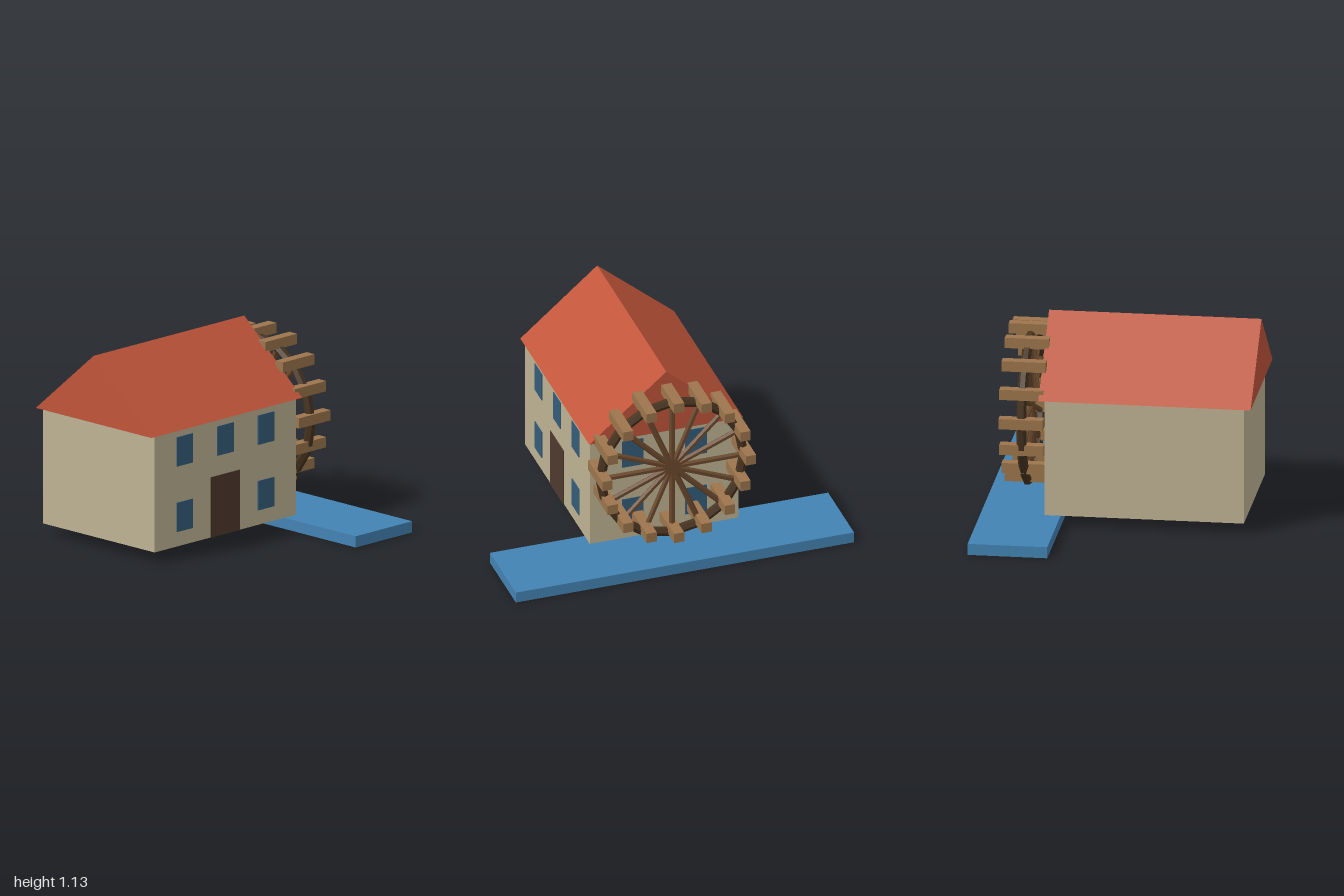
import * as THREE from 'three';

const mat = (name, color) => {
  const m = new THREE.MeshStandardMaterial({ color });
  m.name = name;
  return m;
};

export function createModel() {
  const wall = mat('wall', 0xbfb393);
  const roofRed = mat('roof tile', 0xc1553a);
  const glass = mat('window glass', 0x345c7a);
  const doorWood = mat('door wood', 0x4f392d);
  const water = mat('water', 0x4383b3);
  const rimWood = mat('rim wood', 0x47331f);
  const spokeWood = mat('spoke wood', 0x6b4a2e);
  const paddleWood = mat('paddle wood', 0x9c754c);
  rimWood.flatShading = spokeWood.flatShading = true;

  const model = new THREE.Group();
  model.name = 'watermill';
  const add = (parent, name, geometry, material, x = 0, y = 0, z = 0) => {
    const mesh = new THREE.Mesh(geometry, material);
    mesh.name = name;
    mesh.position.set(x, y, z);
    parent.add(mesh);
    return mesh;
  };
  // box given by its minimum and maximum corners
  const box = (name, material, [x0, y0, z0], [x1, y1, z1]) =>
    add(model, name, new THREE.BoxGeometry(x1 - x0, y1 - y0, z1 - z0), material,
      (x0 + x1) / 2, (y0 + y1) / 2, (z0 + z1) / 2);

  // stream and house
  box('stream', water, [0.31, 0, -1], [0.76, 0.065, 1]);
  box('houseWalls', wall, [-0.725, 0.065, -0.44], [0.4, 0.74, 0.44]);

  // gabled roof: a triangle extruded along x
  const gable = new THREE.Shape([
    new THREE.Vector2(-0.455, 0), new THREE.Vector2(0.455, 0), new THREE.Vector2(0, 0.39),
  ]);
  const roof = new THREE.ExtrudeGeometry(gable, { depth: 1.2, bevelEnabled: false });
  roof.rotateY(Math.PI / 2);
  add(model, 'roof', roof, roofRed, -0.765, 0.74, 0);

  // door and windows
  box('door', doorWood, [-0.28, 0.065, 0.438], [-0.05, 0.415, 0.445]);
  for (const [x, y] of [[-0.487, 0.615], [-0.163, 0.615], [0.16, 0.615], [-0.487, 0.235], [0.16, 0.235]])
    add(model, 'frontWindow', new THREE.BoxGeometry(0.128, 0.17, 0.008), glass, x, y, 0.441);
  for (const z of [-0.187, 0.187])
    for (const y of [0.235, 0.615])
      add(model, 'sideWindow', new THREE.BoxGeometry(0.008, 0.17, 0.128), glass, 0.401, y, z);

  // water wheel turning about x
  const wheel = new THREE.Group();
  wheel.name = 'waterWheel';
  wheel.position.set(0.535, 0.565, 0);
  model.add(wheel);

  const count = 16, radius = 0.425, tube = 0.028;
  const section = [];
  for (let i = 0; i <= 6; i++) {
    const a = Math.PI / 6 + (i * Math.PI) / 3;
    section.push(new THREE.Vector2(radius + tube * Math.cos(a), tube * Math.sin(a)));
  }
  const rim = new THREE.LatheGeometry(section, count);
  rim.rotateZ(Math.PI / 2);
  add(wheel, 'rim', rim, rimWood);

  const spoke = new THREE.CylinderGeometry(0.017, 0.017, radius, 6);
  spoke.translate(0, radius / 2, 0);
  const paddle = new THREE.BoxGeometry(0.25, 0.06, 0.06);
  for (let i = 0; i < count; i++) {
    const a = (i / count) * Math.PI * 2;
    add(wheel, 'spoke', spoke, spokeWood).rotation.x = a;
    // paddles stay level and sit slightly above the rim line
    add(wheel, 'paddle', paddle, paddleWood, 0, 0.03 + radius * Math.cos(a), radius * Math.sin(a));
  }
  return model;
}
